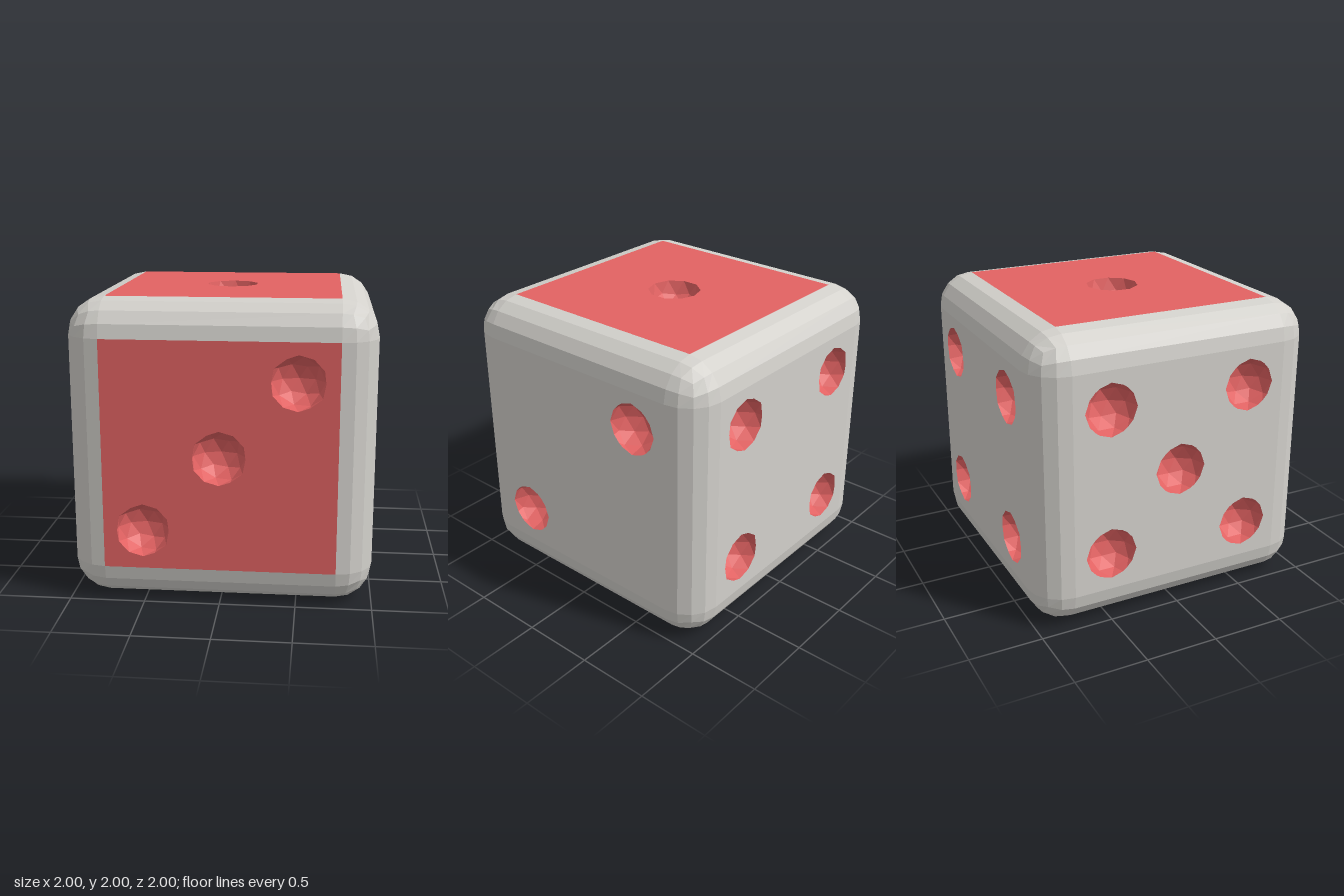
import * as THREE from 'three';

const FLAT = 0.76, BEVEL = 0.24, PIP = 0.18, S = 0.5;
const red = new THREE.MeshStandardMaterial({ color: 0xe26262 });
red.name = 'red';
const grey = new THREE.MeshStandardMaterial({ color: 0xd3d1cc });
grey.name = 'warm grey';

const V = (x, y, z) => new THREE.Vector3(x, y, z);

function facets(points) {
  const g = new THREE.BufferGeometry().setFromPoints(points);
  g.computeVertexNormals();
  return g;
}

function addMesh(group, name, geometry, material) {
  const mesh = new THREE.Mesh(geometry, material);
  mesh.name = name;
  group.add(mesh);
}

// Rounded edges and corners: a cube grid wrapped to a sphere, its octants pushed apart
function bevelGeometry() {
  const pos = new THREE.BoxGeometry(2, 2, 2, 5, 5, 5).toNonIndexed().attributes.position;
  const warp = (c) => Math.sign(c) * Math.tan((Math.abs(c) - 0.2) / 0.8 * Math.PI / 4);
  const out = [];
  for (let i = 0; i < pos.count; i += 3) {
    const tri = [0, 1, 2].map((k) => V().fromBufferAttribute(pos, i + k));
    // the middle cell of each side is left open for the face panel
    const middle = ['x', 'y', 'z'].filter((a) => tri.every((p) => Math.abs(p[a]) < 0.3)).length === 2;
    if (middle) continue;
    for (const p of tri) {
      const dir = V(warp(p.x), warp(p.y), warp(p.z)).normalize().multiplyScalar(BEVEL);
      out.push(dir.add(V(Math.sign(p.x), Math.sign(p.y), Math.sign(p.z)).multiplyScalar(FLAT)));
    }
  }
  return facets(out);
}

// Low-poly ball with a vertex at the top, used to carve every pip
const ball = new THREE.IcosahedronGeometry(PIP, 1);
ball.rotateZ(-Math.atan(2 / (1 + Math.sqrt(5))));

// Half of the ball below the plane with normal n, turned inside out
function bowlPoints(n) {
  const pos = ball.attributes.position, out = [];
  const height = (p) => {
    const d = p.dot(n);
    return Math.abs(d) < 1e-5 ? 0 : d;
  };
  for (let i = 0; i < pos.count; i += 3) {
    const tri = [0, 1, 2].map((k) => V().fromBufferAttribute(pos, i + k));
    if (Math.min(...tri.map(height)) >= 0) continue;
    const poly = [];
    tri.forEach((a, k) => {
      const b = tri[(k + 1) % 3], da = height(a), db = height(b);
      if (da <= 0) poly.push(a);
      if (da * db < 0) poly.push(a.clone().lerp(b, da / (da - db)));
    });
    for (let k = 1; k < poly.length - 1; k++) out.push(poly[0], poly[k + 1], poly[k]);
  }
  return out;
}

// Ordered outline of a bowl in the (u, v) plane of its face
function rimOf(points, n, u, v) {
  const rim = points.filter((p) => Math.abs(p.dot(n)) < 1e-4)
    .map((p) => new THREE.Vector2(p.dot(u), p.dot(v)))
    .sort((a, b) => a.angle() - b.angle());
  return rim.filter((p, i) => p.distanceTo(rim[(i + 1) % rim.length]) > 1e-3);
}

const P2 = (x, y) => new THREE.Vector2(x, y);
const square = () => [P2(-FLAT, -FLAT), P2(FLAT, -FLAT), P2(FLAT, FLAT), P2(-FLAT, FLAT)];

// Run of ten-sided rim points around a bottom pip
function arc(v, from, to) {
  const step = Math.sign(to - from) * 36, pts = [];
  for (let k = 0; k <= Math.round((to - from) / step); k++) {
    const a = THREE.MathUtils.degToRad(from + k * step);
    pts.push(P2(S + PIP * Math.cos(a), v + PIP * Math.sin(a)));
  }
  return pts;
}

// Bottom panel: a grey middle between two red side strips that meet along the pip rows
function bottomPanels() {
  const mirror = (pts) => pts.map((p) => P2(-p.x, p.y)).reverse();
  const ends = [P2(FLAT, FLAT), P2(FLAT, -FLAT)];
  const strip = [ends[1], ends[0], ...arc(S, 54, -90), ...arc(0, 90, -90), ...arc(-S, 90, -54)];
  const inner = [ends[0], ...arc(S, 54, 270), ...arc(0, 90, 270), ...arc(-S, 90, 306), ends[1]];
  return [
    ['bottomStripLeft', strip, red],
    ['bottomStripRight', mirror(strip), red],
    ['bottomMiddle', [...inner, ...mirror(inner)], grey],
  ];
}

const X = V(1, 0, 0), Y = V(0, 1, 0), Z = V(0, 0, 1);
const neg = (a) => a.clone().negate();
const four = [[-S, -S], [S, -S], [-S, S], [S, S]];
// n points out of the face; pips are given along u and v
const FACES = [
  { name: 'front', n: Z, u: X, v: Y, mat: red, pips: [[S, S], [0, 0], [-S, -S]] },
  { name: 'top', n: Y, u: X, v: neg(Z), mat: red, pips: [[0, 0]] },
  { name: 'left', n: X, u: neg(Z), v: Y, mat: grey, pips: [[S, S], [-S, -S]] },
  { name: 'right', n: neg(X), u: Z, v: Y, mat: grey, pips: [...four, [0, 0]] },
  { name: 'back', n: neg(Z), u: neg(X), v: Y, mat: grey, pips: four },
  { name: 'bottom', n: neg(Y), u: X, v: Z, pips: [...four, [S, 0], [-S, 0]] },
];

export function createModel() {
  const model = new THREE.Group();
  model.name = 'die';
  const body = new THREE.Group();
  body.name = 'body';
  body.position.y = 1;
  model.add(body);
  addMesh(body, 'roundedEdges', bevelGeometry(), grey);

  for (const { name, n, u, v, mat, pips } of FACES) {
    const face = new THREE.Group();
    face.name = name + 'Face';
    body.add(face);
    const bowl = bowlPoints(n);
    const rim = rimOf(bowl, n, u, v);
    const place = new THREE.Matrix4().makeBasis(u, v, n).setPosition(n);

    // flat panels, pierced where the pips sit
    const panels = mat ? [[name + 'Panel', square(), mat]] : bottomPanels();
    for (const [label, outline, material] of panels) {
      const shape = new THREE.Shape(outline);
      if (mat) {
        for (const [a, b] of pips) shape.holes.push(new THREE.Path(rim.map((p) => P2(p.x + a, p.y + b))));
      }
      addMesh(face, label, new THREE.ShapeGeometry(shape).applyMatrix4(place), material);
    }

    // sunken pips
    pips.forEach(([a, b], i) => {
      const centre = n.clone().addScaledVector(u, a).addScaledVector(v, b);
      addMesh(face, `${name}Pip${i + 1}`, facets(bowl.map((p) => p.clone().add(centre))), red);
    });
  }
  return model;
}
